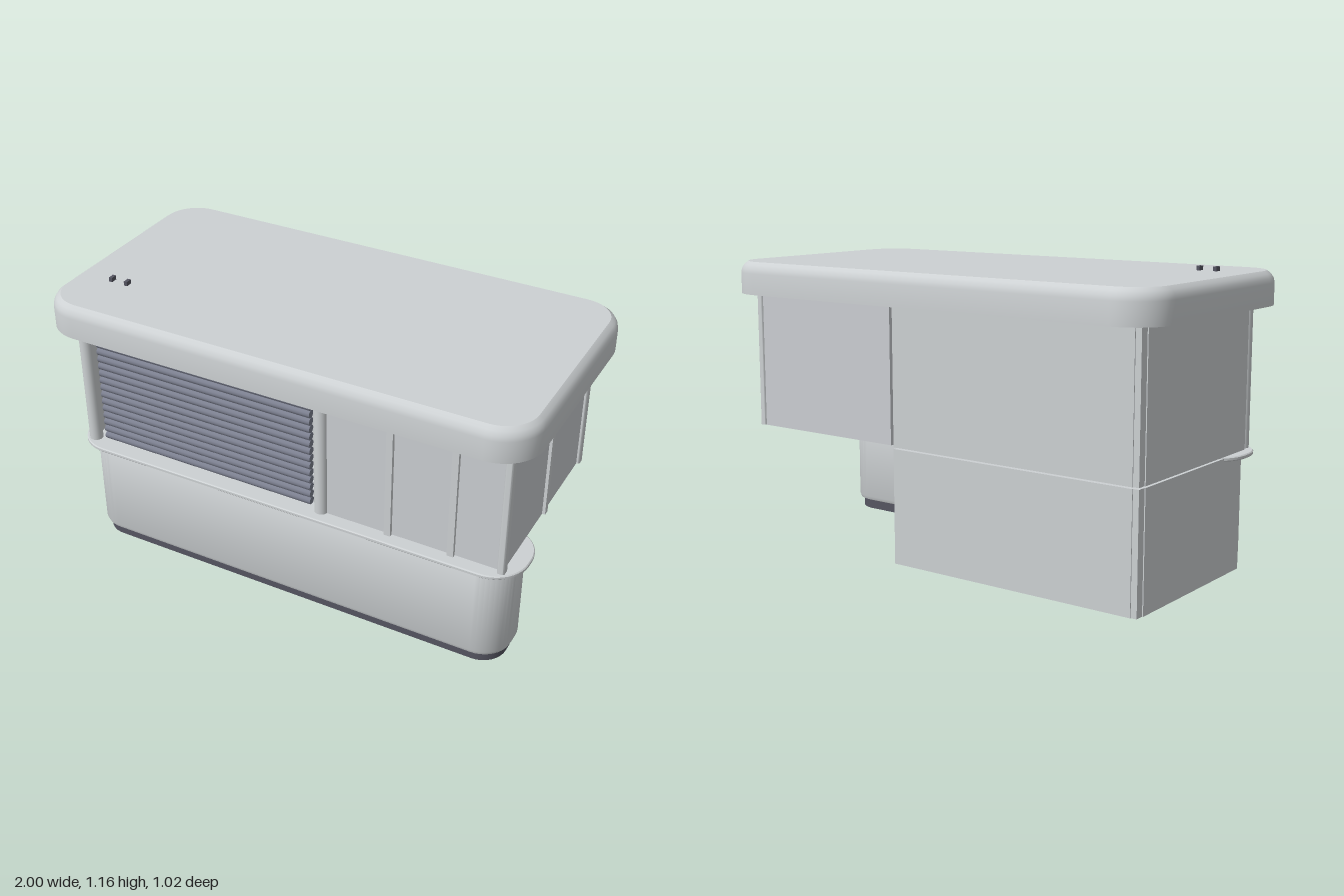
import * as THREE from 'three';
import { toCreasedNormals } from 'three/addons/utils/BufferGeometryUtils.js';

const mat = (name, color) => {
  const m = new THREE.MeshStandardMaterial({ color });
  m.name = name;
  return m;
};

// Points of a rounded rectangle in the x-z plane, running from +x towards +z
function roundedRing(hw, hd, r, y, steps = 10) {
  const pts = [];
  [[1, 1], [-1, 1], [-1, -1], [1, -1]].forEach(([sx, sz], q) => {
    for (let i = 0; i <= steps; i++) {
      const a = (q + i / steps) * Math.PI / 2;
      pts.push([sx * (hw - r) + r * Math.cos(a), y, sz * (hd - r) + r * Math.sin(a)]);
    }
  });
  return pts;
}

// Rounded slab lofted through a profile of [inset, height] pairs
function roundedSlab(hw, hd, r, profile) {
  const rings = profile.map(([inset, y]) => roundedRing(hw - inset, hd - inset, r - inset, y));
  const n = rings[0].length, pos = [], idx = [];
  rings.forEach(ring => ring.forEach(p => pos.push(...p)));
  for (let k = 0; k < rings.length - 1; k++) {
    for (let i = 0; i < n; i++) {
      const a = k * n + i, b = k * n + (i + 1) % n;
      idx.push(a, a + n, b, b, a + n, b + n);
    }
  }
  const low = rings.length * n, high = low + 1, last = (rings.length - 1) * n;
  pos.push(0, profile[0][1], 0, 0, profile[profile.length - 1][1], 0);
  for (let i = 0; i < n; i++) {
    const j = (i + 1) % n;
    idx.push(low, i, j, high, last + j, last + i);
  }
  const g = new THREE.BufferGeometry();
  g.setAttribute('position', new THREE.Float32BufferAttribute(pos, 3));
  g.setIndex(idx);
  return toCreasedNormals(g, 0.6);
}

export function createModel() {
  const body = mat('light grey body', 0xcdd1d3);
  const panel = mat('pale panel grey', 0xcbced2);
  const slate = mat('shutter slate', 0x7c8090);
  const dark = mat('dark base', 0x555561);
  const tan = mat('tan wood', 0xdcA860);

  const model = new THREE.Group();
  const add = (name, geometry, material, x = 0, y = 0, z = 0) => {
    const m = new THREE.Mesh(geometry, material);
    m.name = name;
    m.position.set(x, y, z);
    model.add(m);
    return m;
  };
  // Box given by its limits on each axis
  const box = (name, material, x0, x1, y0, y1, z0, z1) =>
    add(name, new THREE.BoxGeometry(x1 - x0, y1 - y0, z1 - z0), material,
      (x0 + x1) / 2, (y0 + y1) / 2, (z0 + z1) / 2);

  // Roof with a softened top edge, and its two small vents
  add('roof', roundedSlab(1, 0.51, 0.16,
    [[0, 1.01], [0, 1.095], [0.004, 1.112], [0.014, 1.128], [0.03, 1.14]]), body);
  for (const x of [-0.83, -0.76]) box('roofVent', dark, x - 0.007, x + 0.007, 1.135, 1.157, 0.235, 0.262);
  box('underRoofStrip', dark, -0.88, 0.14, 1.0, 1.01, 0.415, 0.428);

  // Counter: dark plinth, rounded body and overhanging top
  add('plinth', roundedSlab(0.905, 0.12, 0.1, [[0, 0], [0, 0.045]]), dark, 0, 0, 0.26);
  add('counterBody', roundedSlab(0.925, 0.14, 0.12,
    [[0.02, 0.037], [0.006, 0.043], [0, 0.058], [0, 0.435], [0.008, 0.447]]), body, 0, 0, 0.26);
  add('counterTop', roundedSlab(0.967, 0.156, 0.14,
    [[0.004, 0.444], [0, 0.448], [0, 0.457], [0.004, 0.461]]), body, 0, 0, 0.276);

  // Solid walls on the back and right side, in two storeys
  for (const [y0, y1, zFront] of [[0, 0.456, 0.3], [0.462, 1.01, 0.33]]) {
    box('sideWall', body, -0.928, -0.9, y0, y1, -0.4, zFront);
    box('backWall', body, -0.9, 0.165, y0, y1, -0.44, -0.405);
    box('backCornerPost', body, -0.924, -0.896, y0, y1, -0.436, -0.396);
  }

  // Cabinet on the inside of the back wall
  box('cabinet', tan, -0.895, 0.165, 0.55, 1.01, -0.405, -0.33);

  // Round posts beside the shutter
  for (const x of [-0.895, 0.155]) {
    add('shutterPost', new THREE.CylinderGeometry(0.027, 0.027, 0.55, 24), body, x, 0.735, 0.37);
  }

  // Roller shutter: housing and ribbed slats
  box('shutterHousing', body, -0.855, 0.105, 0.92, 1.01, 0.3, 0.385);
  const count = 14, pitch = 0.46 / count;
  box('shutterSheet', slate, -0.85, 0.098, 0.46, 0.92, 0.345, 0.355);
  const slat = new THREE.CylinderGeometry(pitch * 0.5, pitch * 0.5, 0.955, 12).rotateZ(Math.PI / 2);
  for (let i = 0; i < count; i++) {
    add('shutterSlat', slat, slate, -0.375, 0.46 + pitch * (i + 0.5), 0.35);
  }

  // Panelled room on the left: front, end and back panels
  box('frontPanel', panel, 0.17, 0.895, 0.461, 1.01, 0.36, 0.375);
  box('endPanel', panel, 0.885, 0.9, 0.461, 1.01, -0.4, 0.37);
  box('backPanel', panel, 0.2, 0.9, 0.461, 1.01, -0.415, -0.4);

  // Slim mullions and corner posts
  for (const x of [0.442, 0.697]) box('frontMullion', body, x - 0.013, x + 0.013, 0.461, 1.01, 0.365, 0.39);
  box('endMullion', body, 0.885, 0.912, 0.461, 1.01, -0.035, -0.008);
  const post = roundedSlab(0.015, 0.02, 0.01, [[0, 0.461], [0, 1.01]]);
  add('frontCornerPost', post, body, 0.897, 0, 0.378);
  add('backCornerPost', post, body, 0.897, 0, -0.402);

  return model;
}
